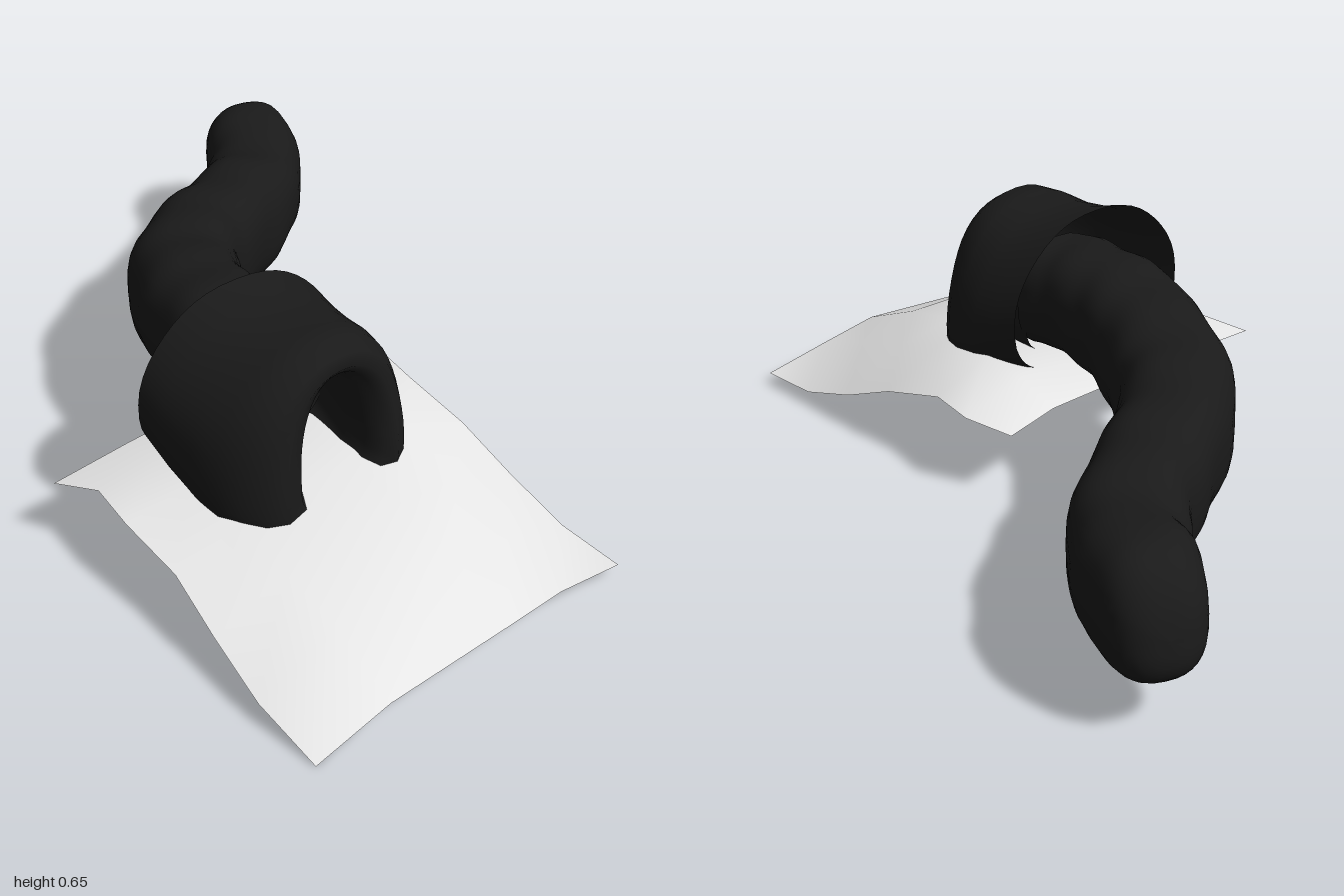
import * as THREE from 'three';

const rock = new THREE.MeshStandardMaterial({ color: 0x1a1a1a, side: THREE.DoubleSide });
rock.name = 'dark rock';
const sand = new THREE.MeshStandardMaterial({ color: 0xececec, side: THREE.DoubleSide });
sand.name = 'pale ground';

// Skin a smooth surface over rows of points; wrap joins each row into a loop
function skin(name, rows, wrap, material) {
  const n = rows[0].length, index = [];
  for (let i = 0; i < rows.length - 1; i++) {
    for (let j = 0; j < (wrap ? n : n - 1); j++) {
      const k = (j + 1) % n;
      const a = i * n + j, b = i * n + k, c = a + n, d = b + n;
      index.push(a, b, d, a, d, c);
    }
  }
  const geometry = new THREE.BufferGeometry().setFromPoints(rows.flat());
  geometry.setIndex(index);
  geometry.computeVertexNormals();
  const mesh = new THREE.Mesh(geometry, material);
  mesh.name = name;
  return mesh;
}

const power = (v, p) => Math.sign(v) * Math.pow(Math.abs(v), p);

// Sloping, slightly rolling sheet of ground
function ground() {
  // z, left x, right x, then five heights across
  const rows = [
    [0.985, -0.72, 0.255, 0.0, 0.05, 0.08, 0.065, 0.035],
    [0.80, -0.73, 0.255, 0.055, 0.15, 0.168, 0.13, 0.042],
    [0.62, -0.71, 0.25, 0.11, 0.185, 0.205, 0.185, 0.098],
    [0.45, -0.69, 0.24, 0.175, 0.222, 0.245, 0.248, 0.17],
    [0.26, -0.69, 0.225, 0.205, 0.225, 0.25, 0.28, 0.22],
    [0.12, -0.67, 0.25, 0.21, 0.225, 0.25, 0.265, 0.22],
    [0.0, -0.72, 0.2, 0.185, 0.2, 0.215, 0.22, 0.195],
  ];
  const points = rows.map(([z, left, right, ...heights]) =>
    heights.map((y, j) => new THREE.Vector3([left, -0.5, -0.14, 0.05, right][j], y, z + (j === 2 && z > 0.9 ? 0.015 : 0))));
  return skin('ground', points, false, sand);
}

// Arched mouth: outer shell from the open back, over the rounded rim, into the opening
function mouth() {
  // z, centre x, half width, top, bottom, how far the crown sits back
  const stations = [
    [0.138, -0.25, 0.29, 0.655, 0.22, 0],
    [0.22, -0.247, 0.293, 0.63, 0.18, 0],
    [0.31, -0.243, 0.293, 0.62, 0.14, 0],
    [0.39, -0.243, 0.283, 0.63, 0.11, 0],
    [0.45, -0.24, 0.255, 0.632, 0.10, 0],
    [0.495, -0.235, 0.22, 0.605, 0.11, 0.005],
    [0.518, -0.23, 0.178, 0.57, 0.14, 0.02],
    [0.507, -0.222, 0.132, 0.545, 0.17, 0.03],
    [0.46, -0.22, 0.108, 0.53, 0.19, 0.02],
    [0.38, -0.22, 0.11, 0.52, 0.2, 0],
    [0.24, -0.22, 0.14, 0.54, 0.225, 0],
  ];
  const n = 48;
  const rows = stations.map(([z, cx, w, top, bottom, back], i) => {
    const cy = bottom + 0.33 * (top - bottom), row = [];
    for (let j = 0; j < n; j++) {
      const a = j / n * Math.PI * 2, s = Math.sin(a), c = Math.cos(a);
      const bump = i < 7 ? 1 + 0.018 * Math.sin(a * 5 + i * 0.5) : 1;
      const x = cx + w * power(c, 0.9) * bump;
      const y = cy + power(s, s > 0 ? 0.95 : 0.75) * (s > 0 ? top - cy : cy - bottom);
      const tilt = i < 2 ? 0.06 * (x - cx) : 0;
      row.push(new THREE.Vector3(x, y, z + tilt - back * Math.max(0, s)));
    }
    return row;
  });
  return skin('tunnelMouth', rows, true, rock);
}

// Winding, lumpy tunnel with a blunt closed far end
function tunnel() {
  // x, z, then top and bottom heights, half width
  const path = [
    [-0.22, 0.26, 0.55, 0.24, 0.15], [-0.217, 0.14, 0.56, 0.257, 0.15], [-0.20, 0.0, 0.56, 0.238, 0.15],
    [-0.155, -0.15, 0.54, 0.21, 0.152], [-0.07, -0.31, 0.51, 0.175, 0.152], [0.06, -0.435, 0.49, 0.145, 0.145],
    [0.22, -0.52, 0.465, 0.128, 0.142], [0.37, -0.60, 0.45, 0.122, 0.14], [0.49, -0.70, 0.428, 0.13, 0.142],
    [0.575, -0.82, 0.452, 0.128, 0.135], [0.655, -0.985, 0.42, 0.13, 0.112],
  ];
  const centre = new THREE.CatmullRomCurve3(path.map(([x, z, t, b]) => new THREE.Vector3(x, (t + b) / 2, z)));
  const size = new THREE.CatmullRomCurve3(path.map(([, , t, b, w], i) => new THREE.Vector3(i, (t - b) / 2, w)));
  const rows = [], steps = 70, caps = 10, n = 32, capStart = 0.92;
  for (let i = 0; i <= steps + caps; i++) {
    const u = i <= steps ? 0 : Math.sin((i - steps) / caps * Math.PI / 2);
    const t = i <= steps ? i / steps * capStart : capStart + u * (1 - capStart);
    const close = Math.pow(Math.max(0, 1 - u ** 3), 1 / 2.6);
    const p = centre.getPoint(t), d = centre.getTangent(t), s = size.getPoint(t);
    const side = new THREE.Vector3(-d.z, 0, d.x).normalize();
    const row = [];
    for (let j = 0; j < n; j++) {
      const a = j / n * Math.PI * 2;
      const lump = 1 + 0.016 * Math.sin(t * 52 + 2 * a) + 0.014 * Math.sin(t * 38 - 3 * a);
      const point = p.clone().addScaledVector(side, s.z * close * lump * power(Math.cos(a), 0.8));
      point.y += s.y * close * lump * power(Math.sin(a), 0.8);
      // the end wall leans back at the top
      point.addScaledVector(d, -0.025 * u * close * Math.sin(a));
      row.push(point);
    }
    rows.push(row);
  }
  return skin('tunnel', rows, true, rock);
}

export function createModel() {
  const model = new THREE.Group();
  model.name = 'caveTunnel';
  model.add(ground(), mouth(), tunnel());
  return model;
}
